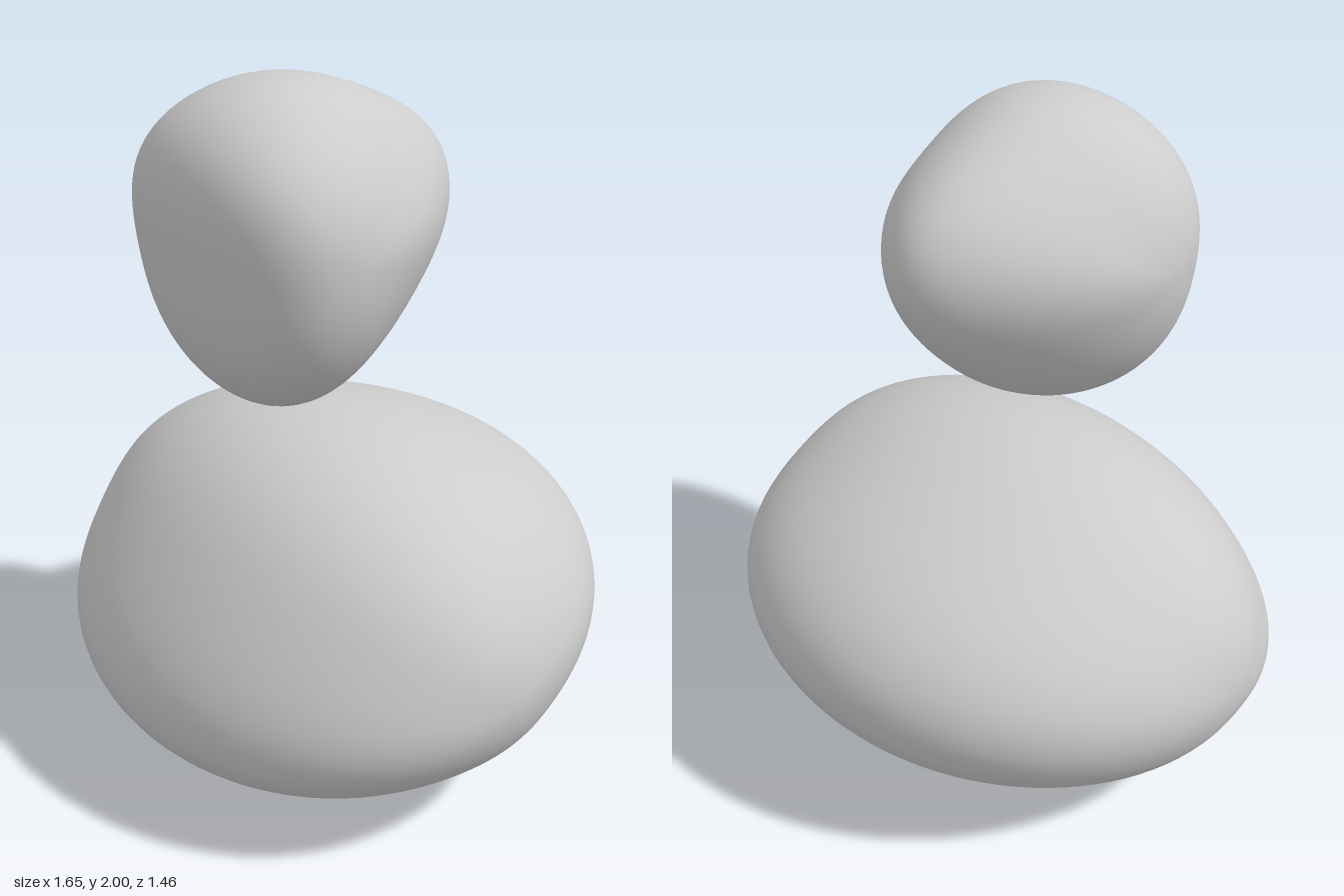
import * as THREE from 'three';
import { mergeVertices } from 'three/addons/utils/BufferGeometryUtils.js';

// Closed side outline of [z, y] points, smoothed by keeping only low harmonics
function smoothOutline(points, count, harmonics) {
  const curve = new THREE.CatmullRomCurve3(points.map(([z, y]) => new THREE.Vector3(0, y, z)), true);
  const raw = curve.getSpacedPoints(count).slice(0, count);
  return raw.map((_, j) => {
    const p = new THREE.Vector3();
    raw.forEach((q, k) => {
      const t = (2 * Math.PI * (j - k)) / count;
      let weight = 1;
      for (let h = 1; h <= harmonics; h++) weight += 2 * Math.cos(h * t);
      p.addScaledVector(q, weight / count);
    });
    return p;
  });
}

// Pebble: the side outline shrinks towards a pole on each side.
// blunt makes the front fuller and the back more pointed.
function pebble({ outline, pole, halfWidth, blunt = 0, taper = 0 }) {
  const around = 96, across = 64;
  const ring = smoothOutline(outline, around, 6);
  const [pz, py] = pole;
  const positions = [], index = [];
  for (let i = 0; i <= across; i++) {
    const a = -Math.PI / 2 + (Math.PI * i) / across;
    const c = Math.cos(a), s = Math.sin(a);
    for (const p of ring) {
      const dz = p.z - pz, dy = p.y - py;
      const swell = taper + (blunt * dz) / Math.hypot(dz, dy);
      positions.push(halfWidth * s * (1 + swell * c * c), py + dy * c, pz + dz * c);
    }
  }
  for (let i = 0; i < across; i++) {
    for (let j = 0; j < around; j++) {
      const a = i * around + j, b = i * around + ((j + 1) % around);
      index.push(a, b, a + around, b, b + around, a + around);
    }
  }
  let geometry = new THREE.BufferGeometry();
  geometry.setAttribute('position', new THREE.Float32BufferAttribute(positions, 3));
  geometry.setIndex(index);
  geometry = mergeVertices(geometry, 1e-5);
  geometry.computeVertexNormals();
  return geometry;
}

export function createModel() {
  const group = new THREE.Group();
  const grey = new THREE.MeshStandardMaterial({ color: 0xcccccc });
  grey.name = 'light grey';

  // Wide lower body, leaning forward at the base
  const body = new THREE.Mesh(pebble({
    outline: [
      [0.07, 1.045], [0.35, 0.96], [0.51, 0.82], [0.643, 0.605], [0.74, 0.39],
      [0.69, 0.23], [0.51, 0.10], [0.30, 0.03], [0.07, 0], [-0.23, 0.045],
      [-0.46, 0.165], [-0.63, 0.34], [-0.735, 0.57], [-0.66, 0.74],
      [-0.44, 0.905], [-0.18, 1.005],
    ],
    pole: [0.07, 0.49], halfWidth: 0.825,
  }), grey);
  body.name = 'body';

  // Floating head, flat at the front and pointed at the back
  const head = new THREE.Mesh(pebble({
    outline: [
      [0.20, 2.0], [0.39, 1.94], [0.485, 1.84], [0.51, 1.68], [0.49, 1.445],
      [0.435, 1.275], [0.34, 1.165], [0.21, 1.122], [0.035, 1.18], [-0.15, 1.32],
      [-0.285, 1.485], [-0.352, 1.667], [-0.305, 1.79], [-0.15, 1.905], [0.035, 1.975],
    ],
    pole: [0.22, 1.6], halfWidth: 0.405, blunt: 0.27, taper: -0.04,
  }), grey);
  head.name = 'head';

  group.add(body, head);
  return group;
}
